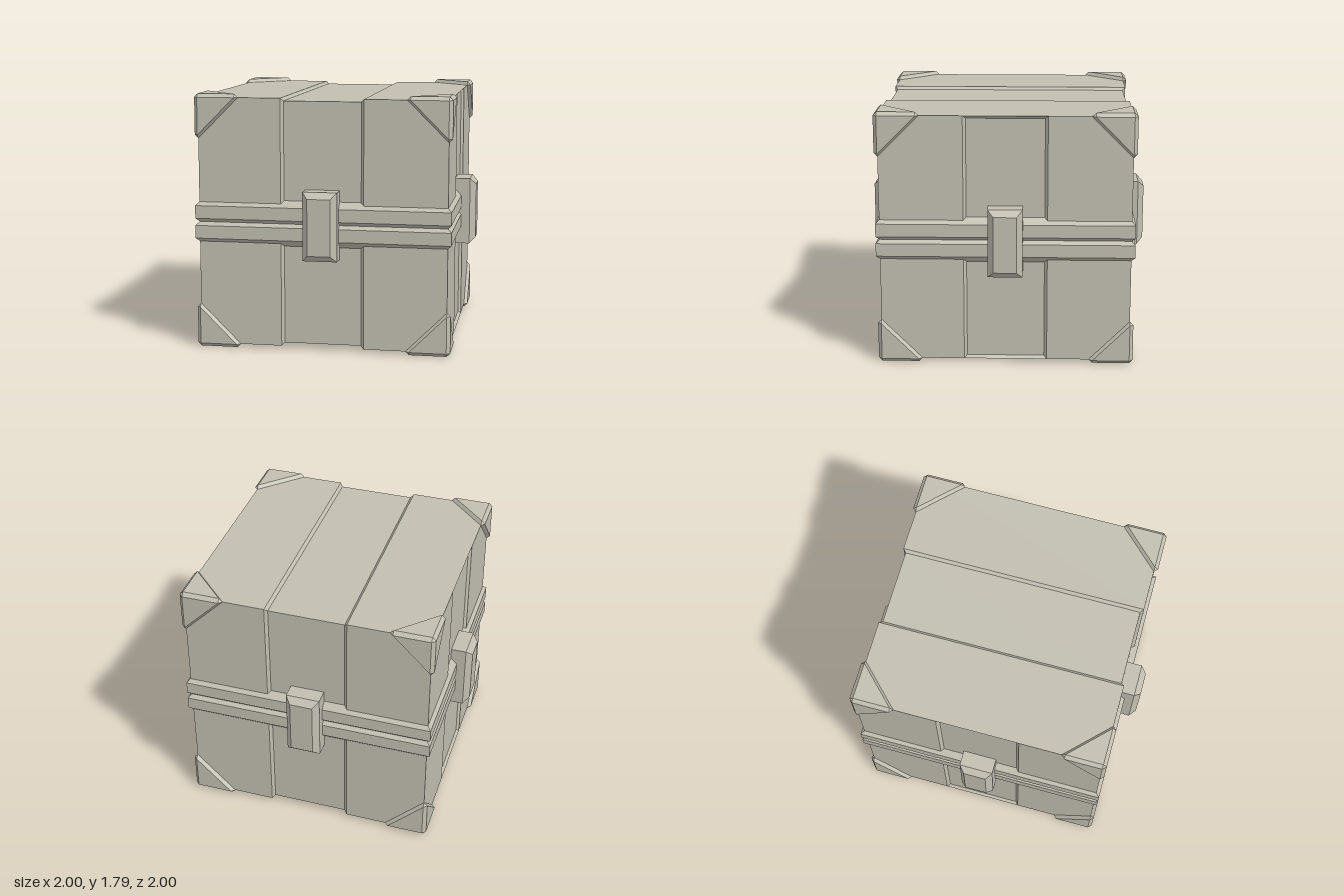
import * as THREE from 'three';
import { ConvexGeometry } from 'three/addons/geometries/ConvexGeometry.js';

const OUT = 0.895;    // outer reach of the trims
const SIDE = 0.87;    // half size of the crate body
const FLOOR = 0.85;   // depth of the recessed panels
const RIM = 0.29;     // half width of a recess at its rim
const BED = 0.27;     // half width of a recess at its floor

// Flat-shaded square ring from [half width, height] points
function squareLathe(profile) {
  const points = profile.map(([r, h]) => new THREE.Vector2(r * Math.SQRT2, h));
  const geo = new THREE.LatheGeometry(points, 4).rotateY(Math.PI / 4).toNonIndexed();
  geo.computeVertexNormals();
  return geo;
}

// Flat-shaded quads, corners counter-clockwise from outside
function quadGeometry(quads) {
  const points = quads.flatMap(([a, b, c, d]) => [a, b, c, a, c, d])
    .map((p) => new THREE.Vector3(...p));
  const geo = new THREE.BufferGeometry().setFromPoints(points);
  geo.computeVertexNormals();
  return geo;
}

// Side wall facing +x with a sunken, bevelled middle panel
function sideWallGeometry() {
  const rect = (x, z, y) => [[x, -y, z], [x, -y, -z], [x, y, -z], [x, y, z]];
  const rim = rect(SIDE, RIM, SIDE);
  const bed = rect(FLOOR, BED, FLOOR);
  const wall = rect(SIDE, SIDE, SIDE);
  const quads = [
    bed,
    [wall[0], rim[0], rim[3], wall[3]],
    [rim[1], wall[1], wall[2], rim[2]],
  ];
  for (let i = 0; i < 4; i++) {
    const j = (i + 1) % 4;
    quads.push([rim[i], rim[j], bed[j], bed[i]]);
  }
  return quadGeometry(quads);
}

// Clasp block facing +z with a bevelled face
function claspGeometry() {
  const points = [];
  for (const [w, h, z] of [[0.12, 0.24, 0.84], [0.12, 0.24, 0.957], [0.08, 0.197, 1]]) {
    for (const sx of [-1, 1]) {
      for (const sy of [-1, 1]) points.push(new THREE.Vector3(sx * w, sy * h, z));
    }
  }
  return new ConvexGeometry(points);
}

// Bevelled three-faced corner guard
function cornerGeometry(sx, sy, sz) {
  const seeds = [
    [SIDE, SIDE, OUT], [0.61, SIDE, OUT], [SIDE, 0.61, OUT], [0.585, SIDE, SIDE],
  ];
  const points = [];
  for (const p of seeds) {
    for (let k = 0; k < 3; k++) {
      points.push(new THREE.Vector3(
        sx * p[k], sy * p[(k + 1) % 3], sz * p[(k + 2) % 3]));
    }
  }
  return new ConvexGeometry(points);
}

export function createModel() {
  const model = new THREE.Group();
  model.name = 'crate';
  const crate = new THREE.Group();
  crate.name = 'crateParts';
  crate.position.y = OUT;
  model.add(crate);

  const stone = new THREE.MeshStandardMaterial({ color: 0xc2bfb1 });
  stone.name = 'warmGrey';

  const add = (name, geometry) => {
    const mesh = new THREE.Mesh(geometry, stone);
    mesh.name = name;
    crate.add(mesh);
    return mesh;
  };

  // Front, top, back and bottom with the groove running round them
  add('bodyShell', squareLathe([
    [SIDE, -SIDE], [SIDE, -RIM], [FLOOR, -BED], [FLOOR, BED], [SIDE, RIM], [SIDE, SIDE],
  ]).rotateZ(-Math.PI / 2));

  // Left and right walls
  const wall = sideWallGeometry();
  add('leftWall', wall);
  add('rightWall', wall).rotation.y = Math.PI;

  // Double band round the middle
  add('lowerBand', squareLathe([
    [FLOOR, -0.16], [OUT, -0.115], [OUT, -0.025], [SIDE, 0],
  ]));
  add('upperBand', squareLathe([
    [SIDE, 0], [OUT, 0.025], [OUT, 0.115], [FLOOR, 0.16],
  ]));

  // One clasp on each side
  const clasp = claspGeometry();
  ['frontClasp', 'leftClasp', 'backClasp', 'rightClasp'].forEach((name, i) => {
    add(name, clasp).rotation.y = i * Math.PI / 2;
  });

  // Corner guards
  for (const sx of [-1, 1]) {
    for (const sy of [-1, 1]) {
      for (const sz of [-1, 1]) {
        const name = (sy > 0 ? 'top' : 'bottom') + (sz > 0 ? 'Front' : 'Back')
          + (sx > 0 ? 'Left' : 'Right') + 'Corner';
        add(name, cornerGeometry(sx, sy, sz));
      }
    }
  }

  return model;
}
